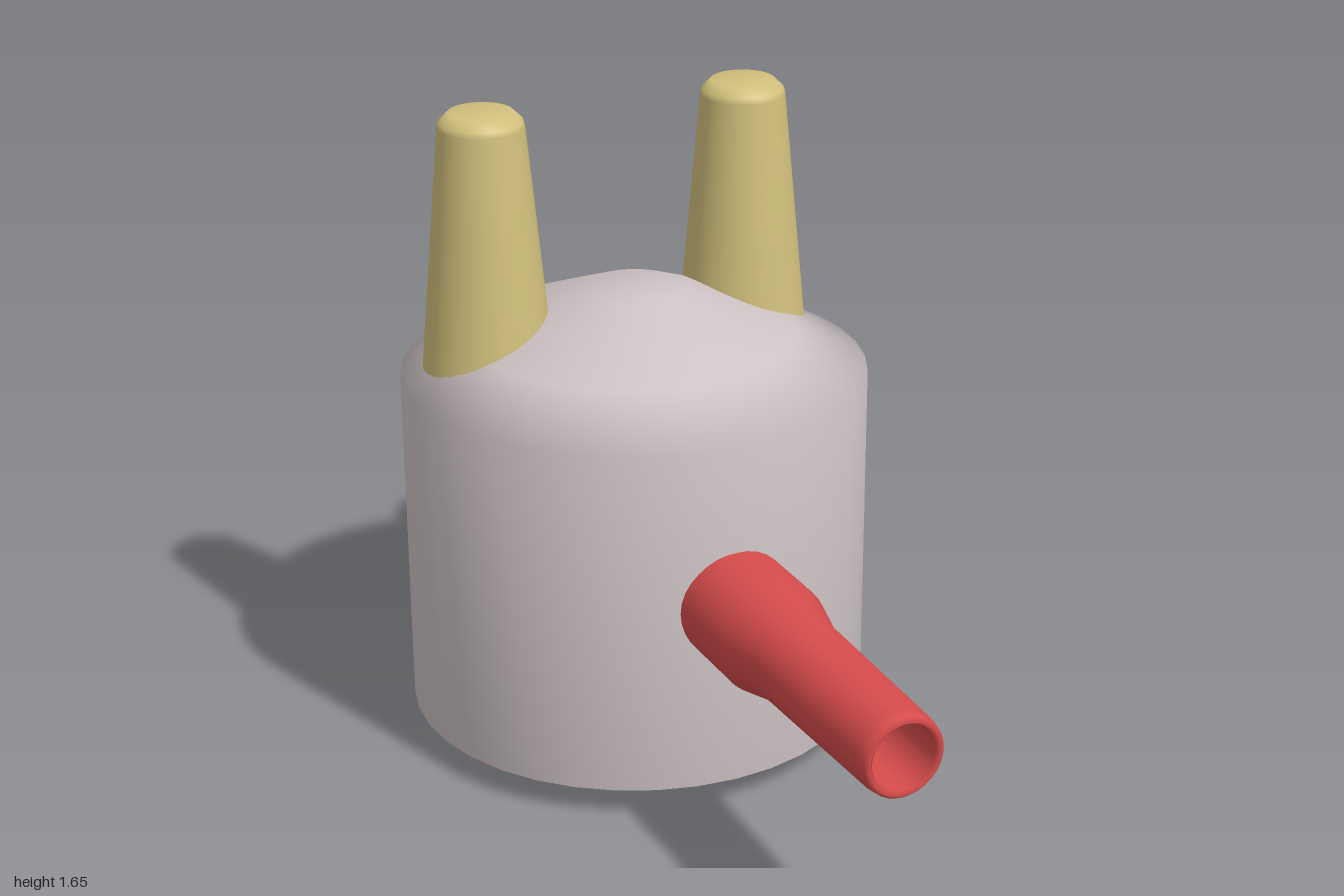
import * as THREE from 'three';

const paint = (name, color) => {
  const m = new THREE.MeshStandardMaterial({ color });
  m.name = name;
  return m;
};

// Turned solid from [radius, height] pairs, listed bottom to top
function turned(name, profile, segments, material) {
  const points = profile.map(([r, y]) => new THREE.Vector2(r, y));
  const mesh = new THREE.Mesh(new THREE.LatheGeometry(points, segments), material);
  mesh.name = name;
  return mesh;
}

export function createModel() {
  const model = new THREE.Group();
  model.name = 'model';
  const grey = paint('warm grey', 0xcdc2c4);
  const sand = paint('sand yellow', 0xd2c07c);
  const red = paint('red', 0xd84c4c);

  // Drum body with bevelled base and sloping shoulders
  const body = turned('body', [
    [0, 0], [0.35, 0.004], [0.52, 0.04], [0.588, 0.075],
    [0.588, 0.97], [0.41, 1.063], [0.125, 1.18], [0, 1.18],
  ], 36, grey);
  body.position.z = -0.412;
  model.add(body);

  // Two tapering posts sunk into the shoulders
  const post = [[0, 0.9], [0.173, 0.9], [0.164, 1.0], [0.107, 1.615], [0.103, 1.63], [0.08, 1.652], [0, 1.652]];
  for (const [name, x, z] of [['rightPost', -0.355, -0.51], ['leftPost', 0.338, -0.485]]) {
    const mesh = turned(name, post, 32, sand);
    mesh.position.set(x, 0, z);
    model.add(mesh);
  }

  // Hollow spout: outer wall forward, round the lip, then back along the bore
  const spout = turned('spout', [
    [0.143, 0.1], [0.143, 0.365], [0.114, 0.485], [0.104, 0.96], [0.1, 0.99],
    [0.09, 1.0], [0.08, 0.99], [0.08, 0.1],
  ], 32, red);
  spout.rotation.x = Math.PI / 2;
  spout.position.y = 0.555;
  model.add(spout);

  return model;
}
